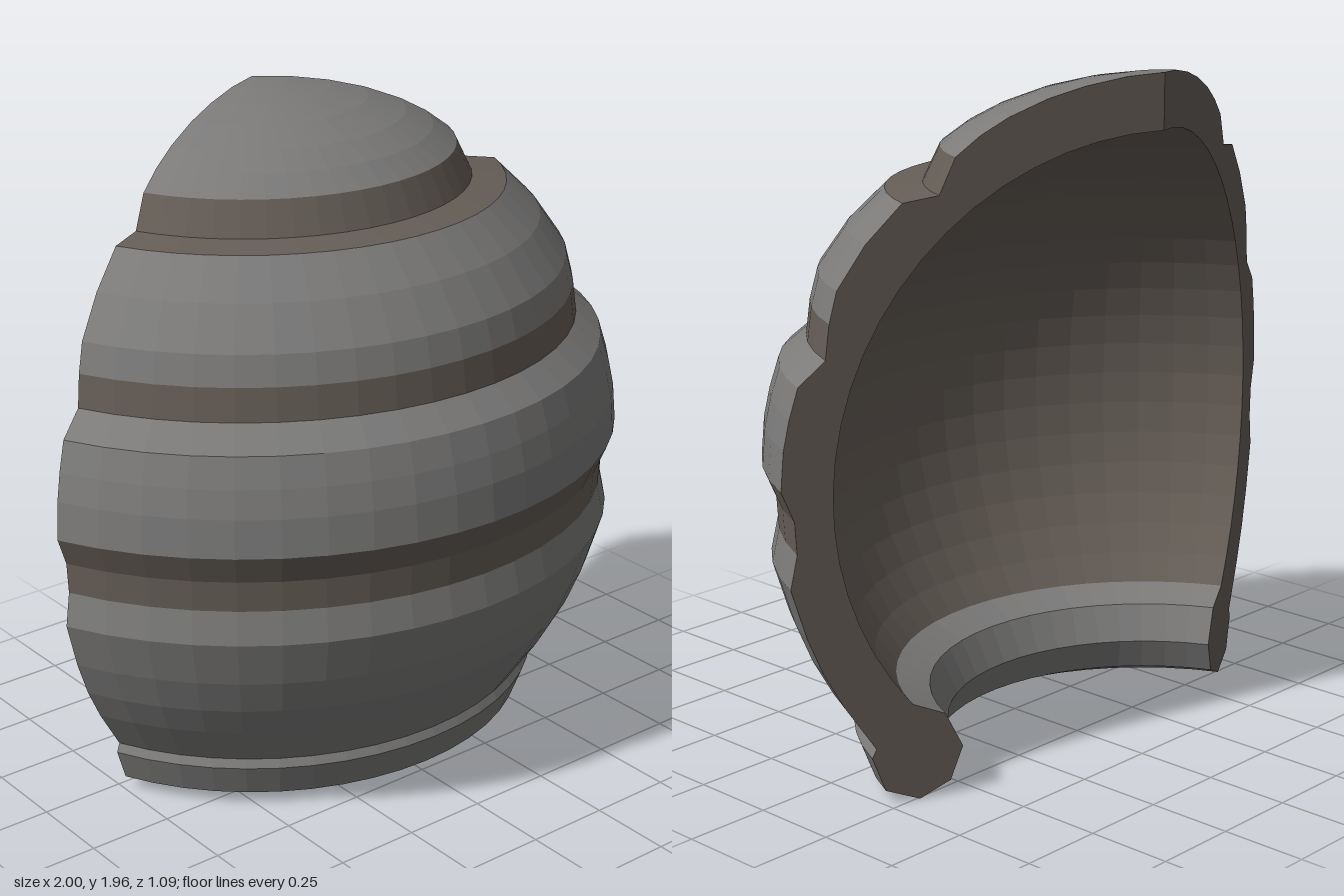
import * as THREE from 'three';

const HALF = THREE.MathUtils.degToRad(66.25); // half of the wedge angle
const AXIS_Z = -0.545;                        // the axis of revolution
const SEGMENTS = 20;

// Outer sections, bottom to top, as [radius, height]
const SECTIONS = [
  ['lowerRimOutside', 'shell', [[0.716, 0], [0.815, 0.04], [0.853, 0.14], [0.84, 0.165]]],
  ['lowerShell', 'shell', [[0.84, 0.165], [0.93, 0.3], [0.985, 0.4], [1.03, 0.51], [1.072, 0.65], [1.052, 0.745]]],
  ['waistGroove', 'groove', [[1.052, 0.745], [1.057, 0.835], [1.092, 0.92]]],
  ['middleShell', 'shell', [[1.092, 0.92], [1.083, 1.03], [1.066, 1.11], [1.04, 1.195], [0.964, 1.26]]],
  ['shoulderGroove', 'groove', [[0.964, 1.26], [0.952, 1.355]]],
  ['upperShell', 'shell', [[0.952, 1.355], [0.93, 1.44], [0.85, 1.555], [0.748, 1.655]]],
  ['neckGroove', 'groove', [[0.748, 1.655], [0.646, 1.668], [0.6, 1.765]]],
  ['cap', 'shell', [[0.6, 1.765], [0.53, 1.817], [0.45, 1.86], [0.34, 1.902], [0.23, 1.93], [0.11, 1.949], [0, 1.955]]],
];

// Elliptical hollow, top to bottom
const hollow = [];
for (let i = 0; i <= 22; i++) {
  const t = (i / 22) * 2.26;
  hollow.push([0.95 * Math.sin(t), 0.87 + 0.93 * Math.cos(t)]);
}
const end = hollow[hollow.length - 1];
const rimInside = [end, [0.639, 0.238], [0.588, 0.135], [0.625, 0.04], [0.716, 0]];

const vectors = (points) => points.map(([x, y]) => new THREE.Vector2(Math.max(x, 0), y));

export function createModel() {
  const make = (name, color) => Object.assign(
    new THREE.MeshStandardMaterial({ color, flatShading: true }), { name });
  const materials = {
    shell: make('shell grey', 0x7c7b7a),
    groove: make('groove brown', 0x665e57),
  };
  const group = new THREE.Group();
  group.name = 'shellWedge';

  const add = (name, geometry, material) => {
    const mesh = new THREE.Mesh(geometry, materials[material]);
    mesh.name = name;
    mesh.position.z = AXIS_Z;
    group.add(mesh);
    return mesh;
  };
  const lathe = (points) => new THREE.LatheGeometry(vectors(points), SEGMENTS, -HALF, 2 * HALF);

  // Outer and inner revolved surfaces
  for (const [name, material, points] of SECTIONS) add(name, lathe(points), material);
  add('hollow', lathe(hollow), 'groove');
  add('lowerRimInside', lathe(rimInside), 'shell');

  // Flat cut faces closing both ends of the wedge
  const outline = [...SECTIONS.flatMap(([, , points]) => points.slice(0, -1)), [0, 1.955],
    ...hollow, ...rimInside.slice(1, -1)];
  const face = new THREE.ShapeGeometry(new THREE.Shape(vectors(outline)));
  face.rotateY(-HALF - Math.PI / 2);
  add('rightCutFace', face, 'groove');
  add('leftCutFace', face, 'groove').scale.x = -1;

  return group;
}
